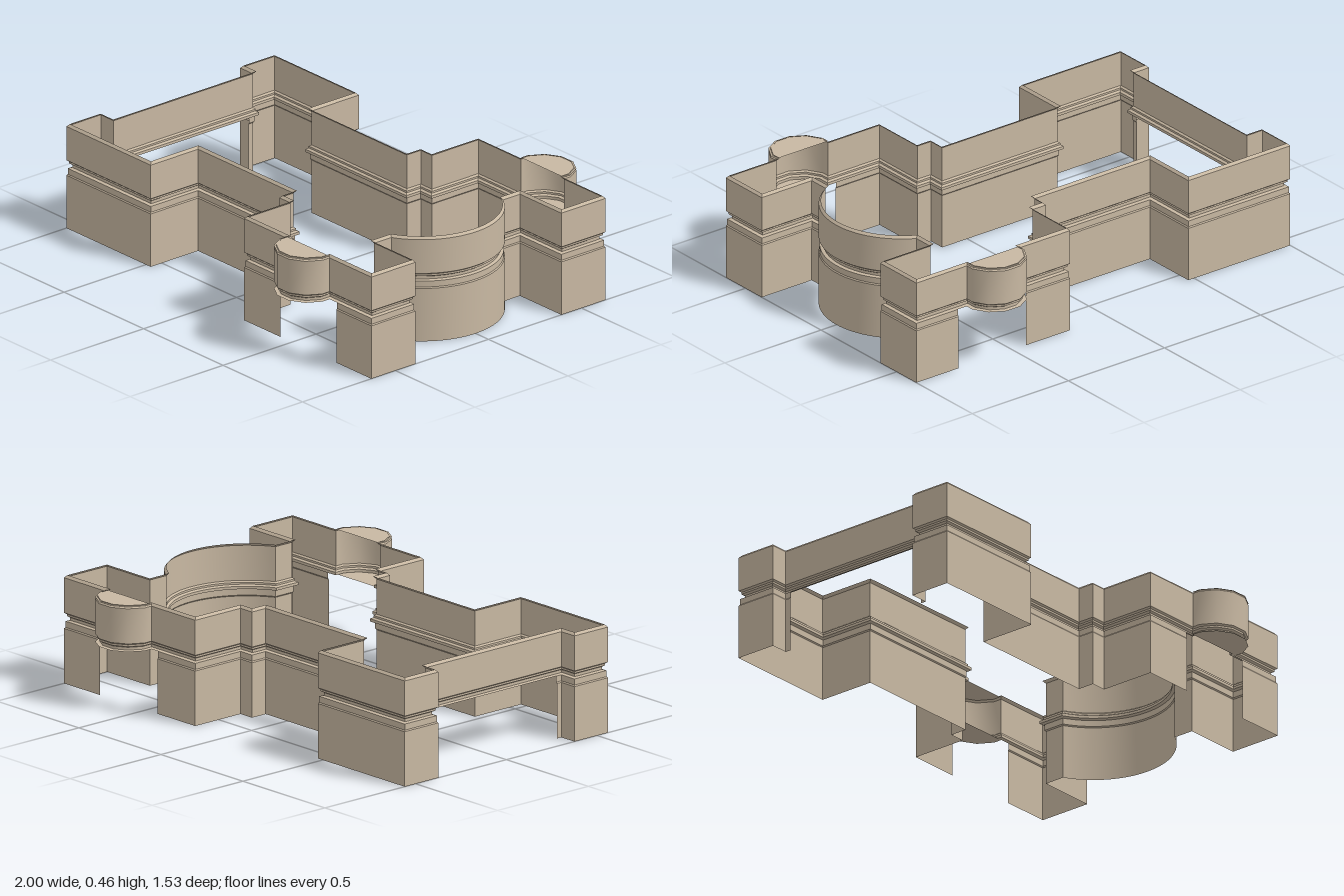
import * as THREE from 'three';
import { toCreasedNormals } from 'three/addons/utils/BufferGeometryUtils.js';

const stone = new THREE.MeshStandardMaterial({ color: 0xc8b8a2, side: THREE.DoubleSide });

// Wall sections as [outward offset, height]
const LOWER = [[0, 0], [0, 0.235], [-0.004, 0.24], [-0.004, 0.266]];
const UPPER = [[-0.004, 0.266], [-0.018, 0.27], [-0.018, 0.282], [-0.008, 0.288],
  [-0.008, 0.296], [0, 0.302], [0, 0.452], [-0.01, 0.463]];

const mirrored = (points) => points.map(([x, z]) => [x, -z]).reverse();

// Sweep a wall section along a plan path of [x, z], with mitred corners
function wall(name, path, section, closed = false) {
  const n = path.length;
  const normal = (a, b) => {
    const dx = b[0] - a[0], dz = b[1] - a[1], l = Math.hypot(dx, dz);
    return [-dz / l, dx / l];
  };
  const positions = [], index = [];
  path.forEach((p, i) => {
    const prev = i > 0 ? path[i - 1] : closed ? path[n - 1] : null;
    const next = i < n - 1 ? path[i + 1] : closed ? path[0] : null;
    const n1 = prev ? normal(prev, p) : normal(p, next);
    const n2 = next ? normal(p, next) : n1;
    const s = 1 + n1[0] * n2[0] + n1[1] * n2[1];
    const mx = (n1[0] + n2[0]) / s, mz = (n1[1] + n2[1]) / s;
    for (const [o, y] of section) positions.push(p[0] + mx * o, y, p[1] + mz * o);
  });
  const m = section.length;
  for (let i = 0; i < (closed ? n : n - 1); i++) {
    for (let k = 0; k < m - 1; k++) {
      const a = i * m + k, b = ((i + 1) % n) * m + k;
      index.push(a, b, b + 1, a, b + 1, a + 1);
    }
  }
  const geo = new THREE.BufferGeometry();
  geo.setAttribute('position', new THREE.Float32BufferAttribute(positions, 3));
  geo.setIndex(index);
  const mesh = new THREE.Mesh(toCreasedNormals(geo, 0.6), stone);
  mesh.name = name;
  return mesh;
}

// Flat cap closing a bay at a given height
function cap(name, points, y) {
  const shape = new THREE.Shape(points.map(([x, z]) => new THREE.Vector2(x, z)));
  const geo = new THREE.ShapeGeometry(shape);
  geo.rotateX(Math.PI / 2);
  // the upper cap faces up
  if (y > 0.3) {
    geo.setIndex(Array.from(geo.index.array).reverse());
    geo.computeVertexNormals();
  }
  const mesh = new THREE.Mesh(geo, stone);
  mesh.name = name;
  mesh.position.y = y;
  return mesh;
}

export function createModel() {
  const model = new THREE.Group();
  model.name = 'buildingWalls';

  // Plan of the front half, from the end wall to the rounded end
  const longSide = [[-0.92, 0.375], [-1, 0.375], [-1, 0.56], [-0.47, 0.56], [-0.47, 0.305],
    [0.13, 0.305], [0.13, 0.38], [0.2, 0.38], [0.2, 0.63]];
  const wing = [[1, 0.63], [1, 0.392], [0.74, 0.392]];

  // Projecting bay: half of a twelve-sided drum
  const bay = [[0.467, 0.63]];
  for (let a = 165; a >= 15; a -= 30) {
    const t = THREE.MathUtils.degToRad(a);
    bay.push([0.602 + 0.14 * Math.cos(t), 0.63 + 0.14 * Math.sin(t)]);
  }
  bay.push([0.737, 0.63]);

  // Rounded end wall
  const apse = [];
  const span = Math.atan2(0.3, 0.16);
  for (let i = 0; i <= 32; i++) {
    const t = span * (1 - i / 16);
    apse.push([0.58 + 0.34 * Math.cos(t), 0.34 * Math.sin(t)]);
  }

  // Upper storey runs all the way round and follows the bays
  const half = [...longSide, ...bay, ...wing];
  model.add(wall('upperWall', [...half, ...apse, ...mirrored(half)], UPPER, true));

  // Lower storey is interrupted under the bays and at the end wall
  const side = [[-0.92, 0.35], ...longSide, [0.43, 0.63]];
  const roundEnd = [[0.78, 0.63], ...wing];
  model.add(wall('frontLowerWall', side, LOWER));
  model.add(wall('backLowerWall', mirrored(side), LOWER));
  model.add(wall('roundedEndLowerWall', [...roundEnd, ...apse, ...mirrored(roundEnd)], LOWER));

  // Bay roofs and undersides
  for (const [label, plan] of [['front', bay], ['back', mirrored(bay)]]) {
    model.add(cap(label + 'BayRoof', plan, 0.46));
    model.add(cap(label + 'BayUnderside', plan, 0.268));
  }
  return model;
}
